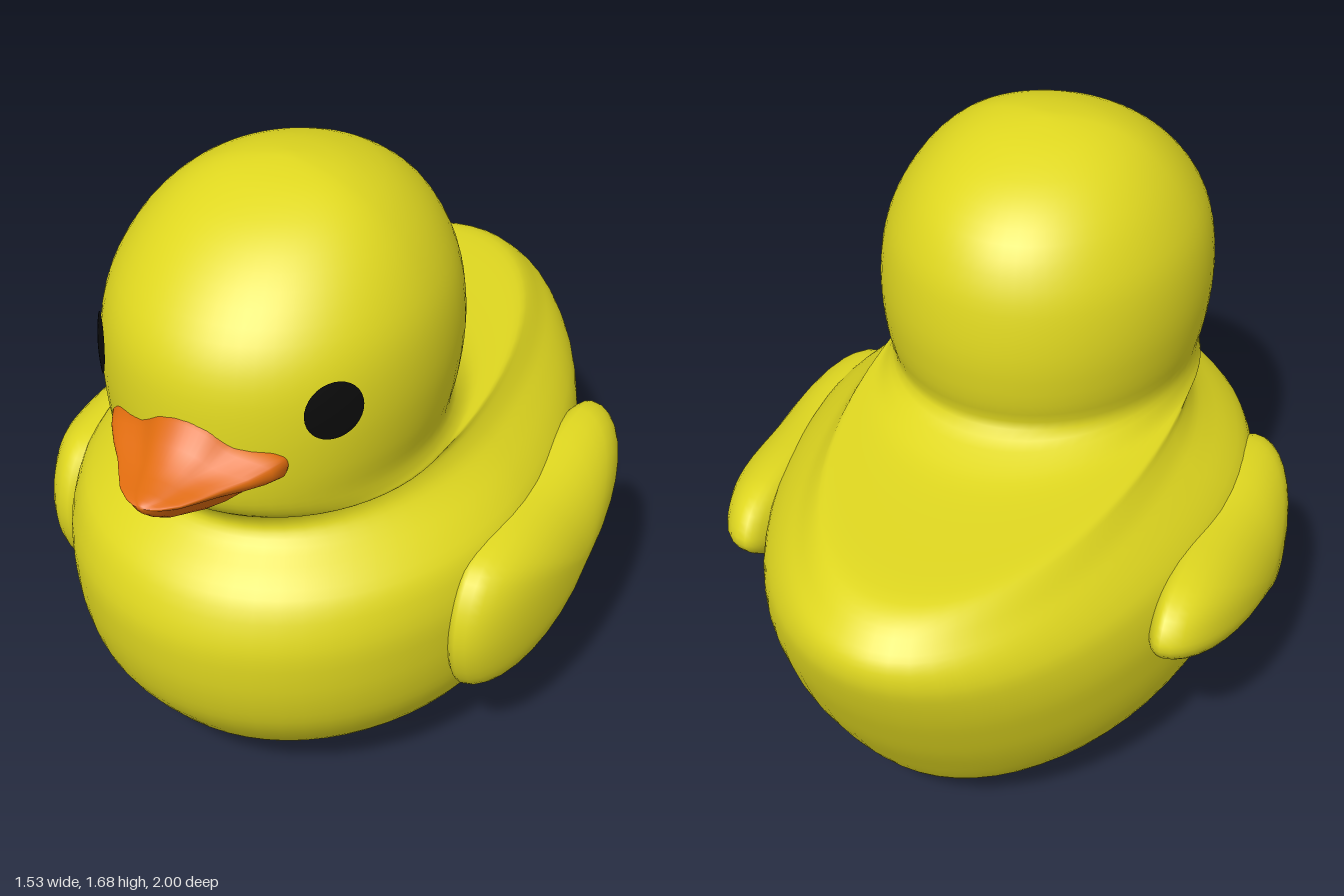
import * as THREE from 'three';
import { mergeVertices } from 'three/addons/utils/BufferGeometryUtils.js';

const yellow = new THREE.MeshStandardMaterial({ color: 0xe0d820 });
yellow.name = 'yellow';
const orange = new THREE.MeshStandardMaterial({ color: 0xe06c0e });
orange.name = 'orange';
const black = new THREE.MeshStandardMaterial({ color: 0x0b0b0b });
black.name = 'black';

// Skin a list of closed rings (arrays of [x, y, z]) into a smooth surface
function loft(rings) {
  const n = rings[0].length;
  const index = [];
  for (let i = 0; i < rings.length - 1; i++) {
    for (let j = 0; j < n; j++) {
      const a = i * n + j, b = i * n + (j + 1) % n;
      index.push(a, a + n, b, b, a + n, b + n);
    }
  }
  let geo = new THREE.BufferGeometry();
  geo.setAttribute('position', new THREE.Float32BufferAttribute(rings.flat(2), 3));
  geo.setIndex(index);
  geo = mergeVertices(geo, 1e-5);
  geo.computeVertexNormals();
  return geo;
}

function part(name, geo, material) {
  const mesh = new THREE.Mesh(geo, material);
  mesh.name = name;
  return mesh;
}

// Closed spline through 2D points, sampled to n points
function outline(points, n) {
  const curve = new THREE.CatmullRomCurve3(points.map(([a, b]) => new THREE.Vector3(a, b, 0)), true);
  return curve.getPoints(n).slice(0, n);
}

// Body and head: level rings given as height, half width, front z, back z
function bodyGeometry() {
  const rows = [
    [0, 0, 0, 0], [0.012, 0.14, 0.2, -0.2], [0.04, 0.28, 0.42, -0.38], [0.08, 0.38, 0.57, -0.55],
    [0.14, 0.48, 0.69, -0.68], [0.2, 0.555, 0.75, -0.735], [0.3, 0.61, 0.82, -0.8],
    [0.4, 0.635, 0.855, -0.86], [0.5, 0.645, 0.87, -0.91], [0.6, 0.645, 0.868, -0.955],
    [0.7, 0.62, 0.83, -0.99], [0.76, 0.575, 0.775, -1], [0.81, 0.52, 0.71, -0.99],
    [0.85, 0.475, 0.685, -0.955], [0.89, 0.447, 0.7, -0.9], [0.91, 0.44, 0.72, -0.82],
    [0.915, 0.437, 0.727, -0.62], [0.922, 0.434, 0.735, -0.42], [0.945, 0.424, 0.76, -0.31],
    [0.99, 0.42, 0.785, -0.215], [1.08, 0.438, 0.797, -0.232], [1.2, 0.449, 0.8, -0.245],
    [1.32, 0.44, 0.787, -0.237], [1.42, 0.41, 0.74, -0.213], [1.52, 0.35, 0.645, -0.155],
    [1.6, 0.27, 0.53, -0.05], [1.65, 0.18, 0.41, 0.08], [1.672, 0.09, 0.32, 0.18], [1.68, 0, 0.25, 0.25],
  ];
  const heights = new THREE.CatmullRomCurve3(rows.map(r => new THREE.Vector3(r[0], 0, 0)), false, 'catmullrom');
  const spans = new THREE.CatmullRomCurve3(rows.map(r => new THREE.Vector3(r[1], r[2], r[3])), false, 'catmullrom');
  const rings = [];
  const steps = (rows.length - 1) * 3;
  for (let i = 0; i <= steps; i++) {
    const y = heights.getPoint(i / steps).x;
    const { x: w, y: front, z: back } = spans.getPoint(i / steps);
    // The widest point moves forward from the body to the head
    const wide = 0.1 + 0.18 * THREE.MathUtils.smoothstep(y, 0.7, 0.98);
    const mid = THREE.MathUtils.clamp(wide, back + (front - back) * 0.45, back + (front - back) * 0.6);
    const ring = [];
    for (let j = 0; j < 64; j++) {
      const a = j / 64 * Math.PI * 2, s = Math.sin(a);
      ring.push([w * Math.cos(a), y, mid + s * (s > 0 ? front - mid : mid - back)]);
    }
    rings.push(ring);
  }
  return loft(rings);
}

// Wing: a padded lens over a side outline of z, y points
function wingGeometry(side) {
  const edge = outline([
    [0.48, 0.47], [0.465, 0.6], [0.4, 0.685], [0.27, 0.715], [0, 0.72], [-0.35, 0.735], [-0.46, 0.695],
    [-0.5, 0.62], [-0.43, 0.54], [-0.25, 0.455], [0, 0.36], [0.2, 0.28], [0.33, 0.28], [0.43, 0.34],
  ], 56);
  const rings = [];
  for (let i = 0; i <= 20; i++) {
    const a = (i / 20 - 0.5) * Math.PI;
    const x = 0.59 + Math.sin(a) * (a > 0 ? 0.175 : 0.1);
    const s = Math.cos(a);
    rings.push(edge.map(p => [side * x, 0.52 + (p.y - 0.52) * s, p.x * s]));
  }
  return loft(side > 0 ? rings : rings.reverse());
}

// Bill: its front outline shrinks towards the tip, hollow above and full below
function billGeometry() {
  const half = [[0.245, 1.12], [0.235, 1.09], [0.18, 1.065], [0.1, 1.005]];
  const upper = [[0.07, 1.235], [0.13, 1.185], [0.235, 1.145]];
  const mirror = list => list.map(([x, y]) => [-x, y]).reverse();
  const edge = outline([...half, [0, 0.98], ...mirror(half), ...mirror(upper), [0, 1.255], ...upper], 64);
  // z, width, height above, height below
  const sections = [
    [0.66, 0, 0, 0], [0.68, 0.9, 0.9, 0.9], [0.775, 1, 1, 1], [0.805, 0.92, 0.75, 1], [0.84, 0.78, 0.46, 0.95],
    [0.88, 0.6, 0.29, 0.82], [0.92, 0.47, 0.19, 0.67], [0.96, 0.34, 0.13, 0.42], [0.985, 0.2, 0.09, 0.22],
    [0.997, 0.08, 0.04, 0.08], [1, 0, 0, 0],
  ];
  return loft(sections.map(([z, w, up, down]) => edge.map(p => {
    const x = p.x * w, dy = p.y - 1.095;
    return [x, 1.095 + dy * (dy > 0 ? up : down), z - 0.8 * x * x];
  })));
}

// Eye: a thin cap that follows the curve of the head
function eye(side) {
  const geo = new THREE.SphereGeometry(0.47, 32, 5, 0, Math.PI * 2, 0, 0.167);
  geo.rotateX(Math.PI / 2);
  geo.translate(0, 0, -0.463);
  const mesh = part(side > 0 ? 'leftEye' : 'rightEye', geo, black);
  mesh.rotation.set(-0.06, side * 0.89, 0, 'YXZ');
  mesh.position.set(side * 0.325, 1.255, 0.638);
  return mesh;
}

export function createModel() {
  const model = new THREE.Group();
  model.name = 'toyDuck';
  model.add(part('bodyAndHead', bodyGeometry(), yellow));
  model.add(part('bill', billGeometry(), orange));
  for (const side of [1, -1]) {
    model.add(part(side > 0 ? 'leftWing' : 'rightWing', wingGeometry(side), yellow));
    model.add(eye(side));
  }
  return model;
}
